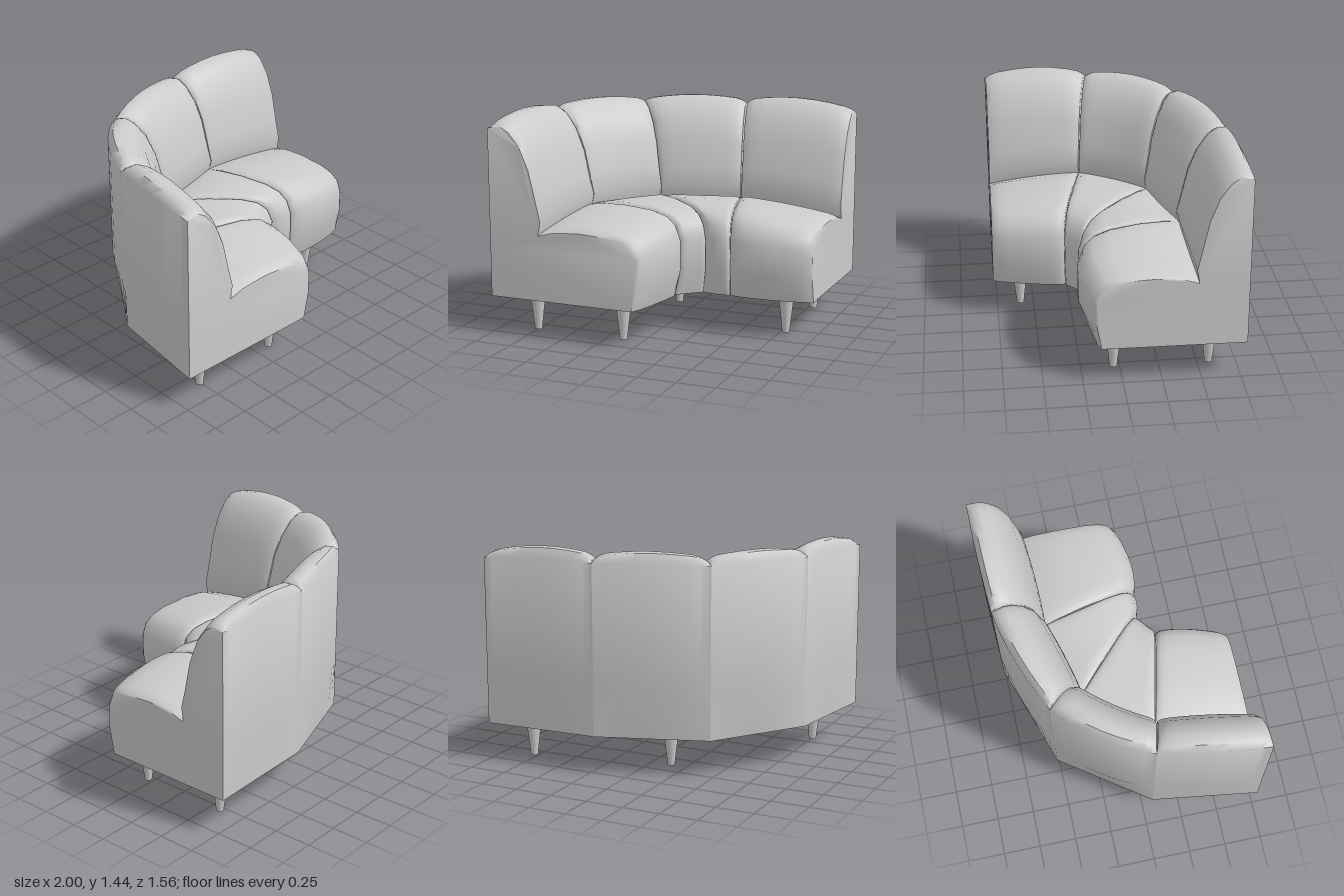
import * as THREE from 'three';
import { toCreasedNormals } from 'three/addons/utils/BufferGeometryUtils.js';

// Plan sections along the sweep: outer wall, crease between back and seat, seat front
// as [x, z], then how far the back top and the seat rise there.
// Even entries are the seams, odd entries the middles of the modules.
const sections = [
  { o: [-1, 0.77], c: [-0.655, 0.77], i: [0.05, 0.78], top: 0.005, seat: 0.015 },
  { o: [-0.97, 0.39], c: [-0.6, 0.43], i: [0.135, 0.5], top: 0.063, seat: 0.07 },
  { o: [-0.9, 0.06], c: [-0.57, 0.14], i: [0.15, 0.3], top: 0.032, seat: 0.09 },
  { o: [-0.74, -0.26], c: [-0.43, -0.09], i: [0.215, 0.25], top: 0.063, seat: 0.09 },
  { o: [-0.49, -0.52], c: [-0.25, -0.295], i: [0.285, 0.195], top: 0.032, seat: 0.09 },
  { o: [-0.15, -0.67], c: [0.03, -0.36], i: [0.37, 0.225], top: 0.063, seat: 0.09 },
  { o: [0.22, -0.76], c: [0.29, -0.44], i: [0.45, 0.215], top: 0.032, seat: 0.09 },
  { o: [0.6, -0.78], c: [0.63, -0.445], i: [0.68, 0.25], top: 0.063, seat: 0.07 },
  { o: [1, -0.785], c: [1, -0.47], i: [1, 0.18], top: 0.005, seat: 0.015 },
];

// Cross-section: t runs 0..1 over the back, 1..2 over the seat; then y,
// share of the top rise, share of the seat rise, softness at the seams,
// share of the bulge between the seams.
const profile = [
  [0, 0.245, 0, 0, 0, 0], [0, 0.58, 0, 0, 0, 1], [0, 1.35, 0.5, 0, 0, 1],
  [0.1, 1.375, 1, 0, 1, 1], [0.25, 1.38, 1, 0, 1, 1], [0.45, 1.345, 1, 0, 1, 1],
  [0.67, 1.25, 0.8, 0.1, 1, 1], [0.85, 1.1, 0.5, 0.4, 1, 1], [0.99, 0.89, 0.1, 0.8, 1, 1],
  [1.025, 0.76, 0, 1, 0.6, 1], [1, 0.66, 0, 1.25, 0.2, 1],
  [1.15, 0.7, 0, 1.1, 0.7, 1], [1.4, 0.72, 0, 1, 1, 1], [1.7, 0.71, 0, 1, 1, 1],
  [1.86, 0.69, 0, 0.9, 1, 1], [1.95, 0.655, 0, 0.7, 1, 1], [2, 0.58, 0, 0.5, 1, 1],
  [2, 0.42, 0, 0, 1, 1], [1.94, 0.245, 0, 0, 0.6, 0.6],
];

// Quadratic through a seam, a module middle and the next seam.
const through = (a, m, b, u) =>
  a * (1 - u) * (1 - 2 * u) + m * 4 * u * (1 - u) + b * u * (2 * u - 1);

const stations = [0, 0.035, 0.09, 0.2, 0.35, 0.5, 0.65, 0.8, 0.91, 0.965, 1];

function moduleGeometry([A, M, B]) {
  const pos = [];
  const index = [];
  const n = profile.length;

  // Rings of the cushion, pinched and set apart a little at the seams
  for (const s of stations) {
    const edge = Math.max(0, 1 - Math.min(s, 1 - s) / 0.09) ** 2;
    for (const [t, y, wTop, wSeat, soft, bulge] of profile) {
      const u = s + (0.5 - s) * 0.016 * soft;
      const tt = t - edge * soft * (t > 1.8 ? 0.022 : t > 0.3 && t < 1 ? 0.025 : 0);
      const [from, to, f] = tt <= 1 ? ['o', 'c', tt] : ['c', 'i', tt - 1];
      const mix = (key, k) => THREE.MathUtils.lerp(
        THREE.MathUtils.lerp(A[key][k], B[key][k], u),
        through(A[key][k], M[key][k], B[key][k], u), bulge);
      const at = (k) => mix(from, k) * (1 - f) + mix(to, k) * f;
      const rise = wTop * through(A.top, M.top, B.top, u) + wSeat * through(A.seat, M.seat, B.seat, u);
      const drop = wTop + wSeat > 0 ? 0.02 * edge * soft : 0;
      pos.push(at(0), y + rise - drop, at(1));
    }
  }

  // Skin, including the underside
  for (let j = 0; j < stations.length - 1; j++) {
    for (let i = 0; i < n; i++) {
      const a = j * n + i, b = j * n + (i + 1) % n;
      index.push(a, b, a + n, b, b + n, a + n);
    }
  }

  // Flat end faces
  const outline = profile.map(([t, y]) => new THREE.Vector2(t <= 1 ? t * 0.34 : 0.34 + (t - 1) * 0.7, y));
  const last = (stations.length - 1) * n;
  for (const [a, b, c] of THREE.ShapeUtils.triangulateShape(outline, [])) {
    index.push(a, b, c, last + a, last + c, last + b);
  }

  const geometry = new THREE.BufferGeometry();
  geometry.setAttribute('position', new THREE.Float32BufferAttribute(pos, 3));
  geometry.setIndex(index);
  return toCreasedNormals(geometry, 0.9);
}

export function createModel() {
  const model = new THREE.Group();
  model.name = 'curvedSofa';
  const material = new THREE.MeshStandardMaterial({ color: 0xcccccc });

  // Four upholstered modules around the corner
  for (let k = 0; k < 4; k++) {
    const cushion = new THREE.Mesh(moduleGeometry(sections.slice(2 * k, 2 * k + 3)), material);
    cushion.name = `sofaModule${k + 1}`;
    model.add(cushion);
  }

  // Tapered legs
  const legGeometry = new THREE.CylinderGeometry(0.052, 0.024, 0.25, 20);
  for (const [x, z] of [[-0.755, 0.59], [-0.138, 0.59], [-0.138, -0.37], [0.783, -0.575], [0.783, 0.04]]) {
    const leg = new THREE.Mesh(legGeometry, material);
    leg.name = 'leg';
    leg.position.set(x, 0.125, z);
    model.add(leg);
  }
  return model;
}
